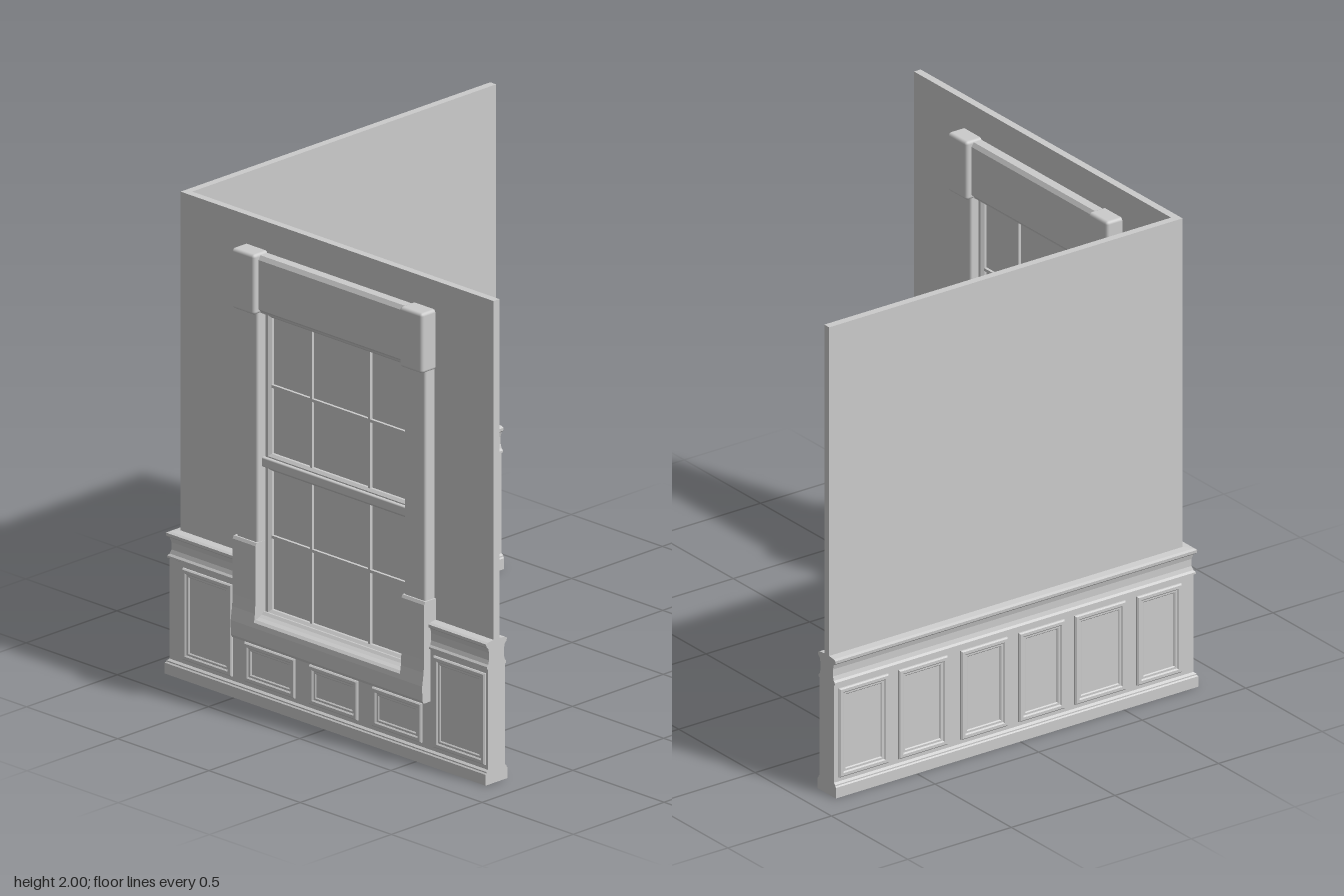
import * as THREE from 'three';
import { RoundedBoxGeometry } from 'three/addons/geometries/RoundedBoxGeometry.js';

const CZ = 0.8, CX = -0.82; // centre lines of the front and side walls
const WX = 0.038; // centre line of the window
const mat = new THREE.MeshStandardMaterial({ color: 0xcccccc });

// Mirrors a half section [[offset, y], ...] listed from bottom to top
const section = (half) => [...half, ...half.slice().reverse().map(([o, y]) => [-o, y])];

// Stations turn a section offset into a plan position
const atX = (x) => (o) => [x, CZ + o];
const corner = (o) => [CX - o, CZ + o];
const sideEnd = (o) => [CX - o, -0.89];

// Sweeps a mirrored section through plan stations, with capped ends
function sweep(half, stations) {
  const prof = section(half), n = prof.length, pos = [];
  const rings = stations.map((s) => prof.map(([o, y]) => { const [x, z] = s(o); return [x, y, z]; }));
  const tri = (a, b, c) => pos.push(...a, ...b, ...c);
  for (let i = 0; i + 1 < rings.length; i++) {
    const A = rings[i], B = rings[i + 1];
    for (let j = 0; j < n; j++) {
      const k = (j + 1) % n;
      tri(A[j], A[k], B[k]);
      tri(A[j], B[k], B[j]);
    }
  }
  const first = rings[0], last = rings[rings.length - 1];
  const caps = THREE.ShapeUtils.triangulateShape(prof.map((p) => new THREE.Vector2(...p)), []);
  for (const [a, b, c] of caps) {
    tri(first[a], first[c], first[b]);
    tri(last[a], last[b], last[c]);
  }
  const g = new THREE.BufferGeometry();
  g.setAttribute('position', new THREE.Float32BufferAttribute(pos, 3));
  g.computeVertexNormals();
  return g;
}

function rectPath(Type, x0, x1, y0, y1) {
  const p = new Type();
  p.moveTo(x0, y0); p.lineTo(x1, y0); p.lineTo(x1, y1); p.lineTo(x0, y1); p.closePath();
  return p;
}

// Bevelled rectangular frame standing up from z = 0
function frame(w, h, border, height, bevel) {
  const x = w / 2 - bevel, y = h / 2 - bevel, b = border - 2 * bevel;
  const s = rectPath(THREE.Shape, -x, x, -y, y);
  s.holes.push(rectPath(THREE.Path, -x + b, x - b, -y + b, y - b));
  return new THREE.ExtrudeGeometry(s, {
    depth: height - bevel, bevelThickness: bevel, bevelSize: bevel, bevelSegments: 1,
  });
}

export function createModel() {
  const model = new THREE.Group();
  const add = (name, geo, parent = model) => {
    const m = new THREE.Mesh(geo, mat);
    m.name = name;
    parent.add(m);
    return m;
  };
  const box = (name, x0, x1, y0, y1, half, r = 0) => {
    const size = [x1 - x0, y1 - y0, 2 * half];
    const g = r ? new RoundedBoxGeometry(...size, 2, r) : new THREE.BoxGeometry(...size);
    add(name, g).position.set((x0 + x1) / 2, (y0 + y1) / 2, CZ);
  };

  // Walls with baseboard, panelled dado and chair rail
  const base = [[0.06, 0], [0.06, 0.045], [0.055, 0.05], [0.055, 0.055], [0.046, 0.062]];
  const wall = [...base, [0.046, 0.478], [0.053, 0.482], [0.053, 0.49], [0.046, 0.498],
    [0.041, 0.515], [0.041, 0.545], [0.046, 0.565], [0.056, 0.573], [0.057, 0.585],
    [0.046, 0.59], [0.016, 0.594], [0.016, 2]];
  add('cornerWall', sweep(wall, [atX(-0.42), corner, sideEnd]));
  add('frontWallEnd', sweep(wall, [atX(0.88), atX(0.5)]));
  add('wallBelowWindow', sweep([...base, [0.046, 0.36]], [atX(0.5), atX(-0.42)]));
  box('wallAboveWindow', -0.42, 0.5, 1.64, 2, 0.016);

  // Raised panel mouldings, on one face of a wall
  const panel = (w, h) => {
    const g = new THREE.Group();
    g.name = 'panelMoulding';
    add('outerMoulding', frame(w, h, 0.022, 0.012, 0.005), g);
    add('innerMoulding', frame(w - 0.036, h - 0.036, 0.016, 0.006, 0.004), g);
    model.add(g);
    return g;
  };
  const frontPanels = [[-0.79, -0.52, 0.46], [0.587, 0.868, 0.46],
    [-0.45, -0.175, 0.243], [-0.095, 0.17, 0.243], [0.25, 0.52, 0.243]];
  for (const [x0, x1, top] of frontPanels) {
    for (const side of [1, -1]) {
      const p = panel(x1 - x0, top - 0.08);
      p.position.set((x0 + x1) / 2, (top + 0.08) / 2, CZ + side * 0.045);
      if (side < 0) p.rotation.y = Math.PI;
    }
  }
  const sidePanels = [[0.57, 0.71], [0.27, 0.515], [0, 0.22], [-0.28, -0.055], [-0.58, -0.345], [-0.868, -0.63]];
  sidePanels.forEach(([z0, z1], i) => {
    for (const side of [1, -1]) {
      const end = i === 0 && side < 0 ? 0.785 : z1; // wider outside the corner
      const p = panel(end - z0, 0.38);
      p.position.set(CX + side * 0.045, 0.27, (z0 + end) / 2);
      p.rotation.y = side * Math.PI / 2;
    }
  });

  // Window surround
  const foot = [[0.083, 0.262], [0.09, 0.275], [0.091, 0.335], [0.088, 0.355]];
  const plinth = [...foot, [0.083, 0.39], [0.08, 0.44], [0.08, 0.67], [0.074, 0.682]];
  const apron = [...foot, [0.078, 0.364], [0.06, 0.37], [0.045, 0.378], [0.035, 0.388]];
  const header = [[0.048, 1.63], [0.052, 1.638], [0.065, 1.65], [0.065, 1.855], [0.054, 1.872]];
  add('windowApron', sweep(apron, [atX(0.45), atX(-0.37)]));
  add('windowHeader', sweep(header, [atX(0.45), atX(-0.37)]));
  for (const s of [-1, 1]) {
    const span = (a, b) => [WX + s * a, WX + s * b].sort((p, q) => p - q);
    const [p0, p1] = span(0.4, 0.525);
    add('casingPlinth', sweep(plinth, [atX(p1), atX(p0)]));
    box('sideCasing', ...span(0.402, 0.518), 0.66, 1.65, 0.067, 0.01);
    box('headBlock', ...span(0.398, 0.523), 1.63, 1.88, 0.09, 0.013);
  }

  // Sashes: frame, glazing bars and glass
  const sashes = [[1.035, 1.62, 1.325], [0.388, 0.985, 0.7]];
  const sash = rectPath(THREE.Shape, -0.37, 0.45, 0.36, 1.65);
  for (const [y0, y1] of sashes) sash.holes.push(rectPath(THREE.Path, -0.335, 0.417, y0 + 0.01, y1 - 0.01));
  const sashGeo = new THREE.ExtrudeGeometry(sash, {
    depth: 0.034, bevelThickness: 0.011, bevelSize: 0.01, bevelOffset: -0.01, bevelSegments: 1,
  });
  add('sashFrame', sashGeo).position.z = CZ - 0.017;
  box('meetingRail', -0.37, 0.45, 0.99, 1.03, 0.042, 0.006);
  for (const [y0, y1, mid] of sashes) {
    box('glass', -0.36, 0.44, y0 - 0.01, y1 + 0.01, 0.006);
    box('glazingBar', -0.35, 0.43, mid - 0.006, mid + 0.006, 0.018);
    for (const x of [-0.12, 0.199]) box('glazingBar', x - 0.006, x + 0.006, y0, y1, 0.018);
  }
  return model;
}
